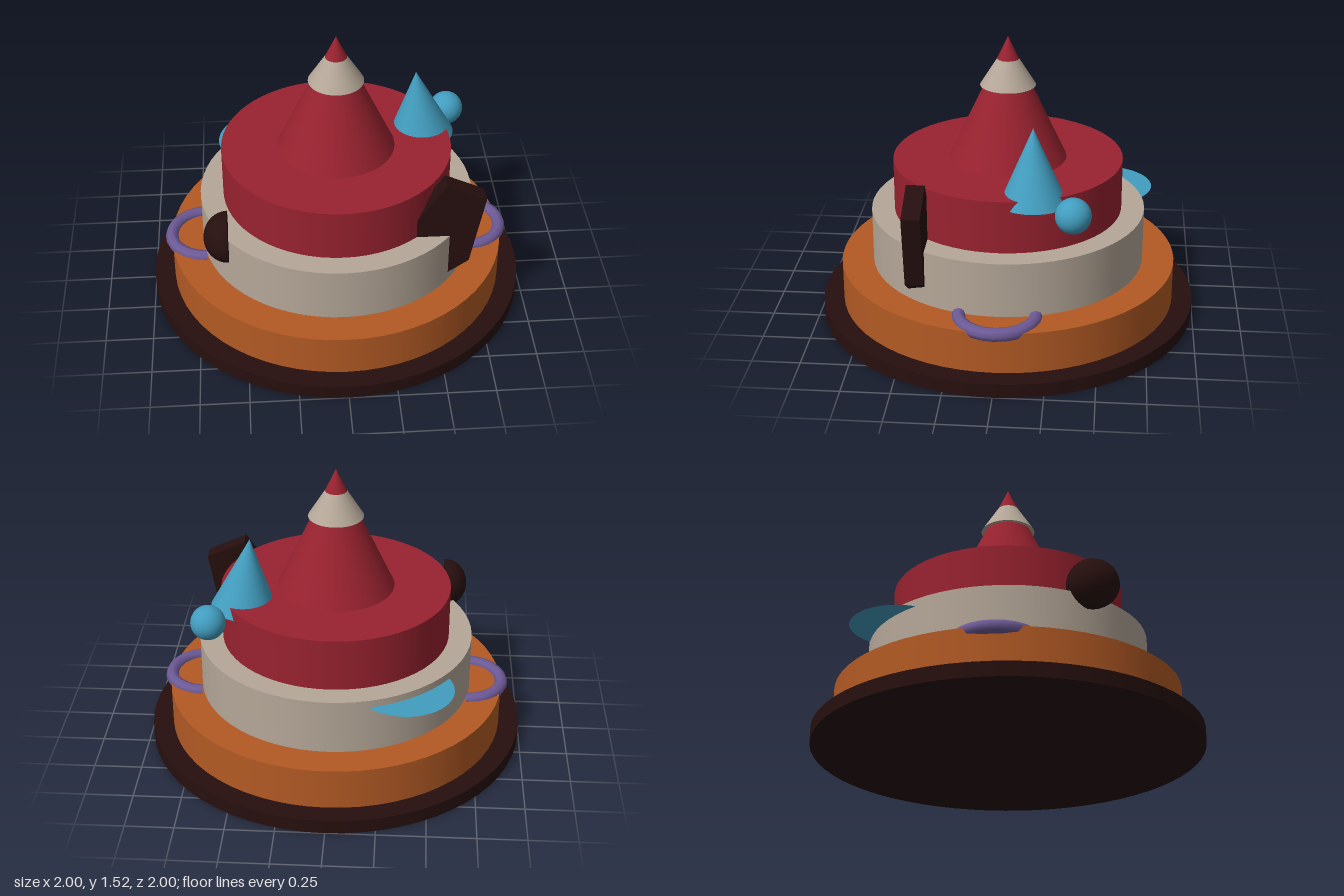
import * as THREE from 'three';

const mat = (name, color) => Object.assign(new THREE.MeshStandardMaterial({ color }), { name });

export function createModel() {
  const model = new THREE.Group();
  const brown = mat('darkBrown', 0x260f0e);
  const orange = mat('burntOrange', 0xb35a24);
  const beige = mat('beige', 0xb5a798);
  const red = mat('deepRed', 0x98222f);
  const blue = mat('skyBlue', 0x429dbf);
  const purple = mat('purple', 0x6d5a97);
  const blueSheet = mat('skyBlueSheet', 0x429dbf);
  blueSheet.side = THREE.DoubleSide;

  const add = (name, geometry, material, x = 0, y = 0, z = 0) => {
    const mesh = new THREE.Mesh(geometry, material);
    mesh.name = name;
    mesh.position.set(x, y, z);
    model.add(mesh);
    return mesh;
  };

  // Stacked round tiers: name, radius, bottom, top, material
  for (const [name, r, y0, y1, m] of [
    ['basePlate', 1, 0, 0.075, brown],
    ['lowerTier', 0.892, 0.075, 0.295, orange],
    ['middleTier', 0.724, 0.295, 0.587, beige],
    ['upperTier', 0.603, 0.587, 0.865, red],
  ]) add(name, new THREE.CylinderGeometry(r, r, y1 - y0, 64), m, 0, (y0 + y1) / 2, 0);

  // Spire, with a pale collar cone that the tip pokes through
  add('spire', new THREE.ConeGeometry(0.307, 0.655, 64), red, 0, 1.1925, 0);
  add('spireCollar', new THREE.ConeGeometry(0.144, 0.23, 48), beige, 0, 1.375, 0);

  // Leaning side cone, set from its apex and base centre
  const apex = new THREE.Vector3(0.43, 1.19, -0.157);
  const foot = new THREE.Vector3(0.468, 0.802, -0.163);
  const axis = apex.clone().sub(foot);
  const mid = apex.clone().add(foot).multiplyScalar(0.5);
  add('sideCone', new THREE.ConeGeometry(0.172, axis.length(), 32), blue, mid.x, mid.y, mid.z)
    .quaternion.setFromUnitVectors(new THREE.Vector3(0, 1, 0), axis.normalize());

  // Ball beside the cone
  add('ball', new THREE.SphereGeometry(0.09, 32, 20), blue, 0.63, 0.817, -0.367);

  // Flat disc sticking out of the middle tier at the back
  add('backDisc', new THREE.CircleGeometry(0.253, 48), blueSheet, -0.375, 0.548, -0.515)
    .rotation.x = -Math.PI / 2;

  // Angular slab set into the tiers
  const slab = new THREE.Shape([
    [0.525, 0.907], [0.3, 0.566], [0.3, 0.45], [0.45, 0.27], [0.66, 0.42], [0.732, 0.812],
  ].map(([x, y]) => new THREE.Vector2(x, y)));
  add('slab', new THREE.ExtrudeGeometry(slab, { depth: 0.094, bevelEnabled: false }), brown, 0, 0, 0.372);

  // Dome facing outward, closed by a flat face
  const dome = new THREE.SphereGeometry(0.132, 32, 12, 0, Math.PI * 2, 0, Math.PI / 2);
  dome.scale(1, 0.93, 1).rotateZ(Math.PI / 2);
  add('dome', dome, brown, -0.58, 0.64, 0.462);
  add('domeFace', new THREE.CircleGeometry(0.132, 32), brown, -0.58, 0.64, 0.462)
    .rotation.y = Math.PI / 2;

  // Half-ring handles on both sides
  for (const side of [1, -1]) {
    const ring = new THREE.TorusGeometry(0.193, 0.035, 8, 12, Math.PI);
    ring.rotateZ(-Math.PI / 2).rotateX(Math.PI / 2);
    if (side < 0) ring.rotateY(Math.PI);
    add(side > 0 ? 'leftHandle' : 'rightHandle', ring, purple, side * 0.702, 0.291, 0);
  }
  return model;
}
